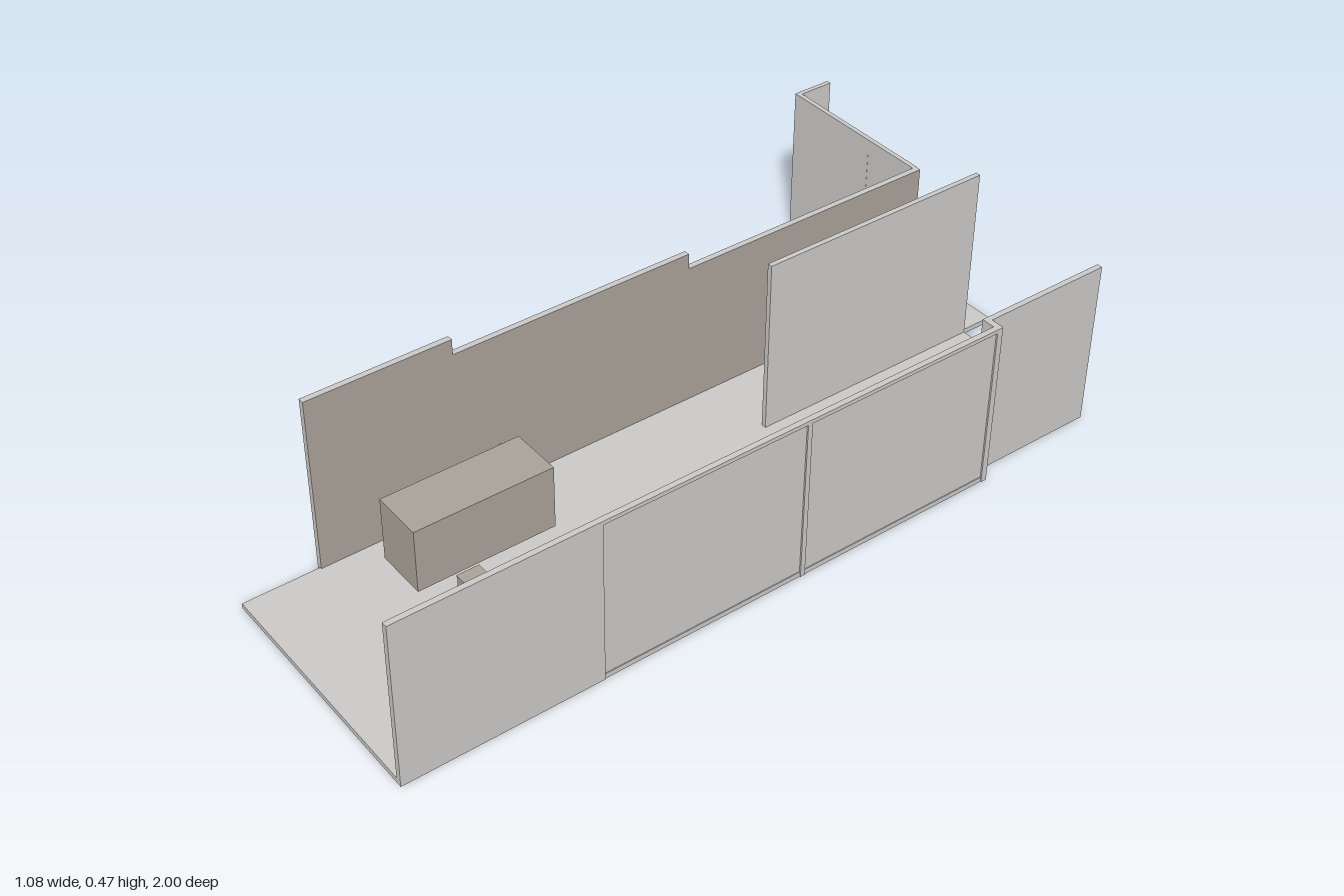
import * as THREE from 'three';
import { RoundedBoxGeometry } from 'three/addons/geometries/RoundedBoxGeometry.js';

export function createModel() {
  const root = new THREE.Group();
  const mat = (name, color) => {
    const m = new THREE.MeshStandardMaterial({ color });
    m.name = name;
    return m;
  };
  const grey = mat('wall grey', 0xc9c8c6);
  const tan = mat('warm taupe', 0xa8a197);
  const dark = mat('dark grey', 0x4d4c4a);

  const group = (name) => {
    const g = new THREE.Group();
    g.name = name;
    root.add(g);
    return g;
  };
  // Box given by its extents along x, y and z
  const box = (parent, name, m, x0, x1, y0, y1, z0, z1, round = 0) => {
    const s = [x1 - x0, y1 - y0, z1 - z0];
    const geo = round ? new RoundedBoxGeometry(...s, 2, round) : new THREE.BoxGeometry(...s);
    const mesh = new THREE.Mesh(geo, m);
    mesh.name = name;
    mesh.position.set((x0 + x1) / 2, (y0 + y1) / 2, (z0 + z1) / 2);
    parent.add(mesh);
    return mesh;
  };

  // Floor slab with the side wing at the back left and a notch at the back right
  const outline = [[-0.54, -0.975], [0.1, -0.975], [0.1, -0.885], [0.505, -0.885], [0.505, -0.55],
    [0.538, -0.55], [0.538, 1], [-0.09, 1], [-0.09, -0.87], [-0.54, -0.87]];
  const shape = new THREE.Shape(outline.map(([x, z]) => new THREE.Vector2(x, -z)));
  const floorGeo = new THREE.ExtrudeGeometry(shape, { depth: 0.013, bevelEnabled: false });
  floorGeo.rotateX(-Math.PI / 2);
  const floor = new THREE.Mesh(floorGeo, grey);
  floor.name = 'floor';
  root.add(floor);

  // Corridor walls, painted taupe on the corridor side
  const innerRight = [tan, grey, grey, grey, grey, grey];
  const innerLeft = [grey, tan, grey, grey, grey, grey];
  const leftWall = group('steppedWall');
  [[0.385, -0.88, -0.18], [0.425, -0.18, 0.45], [0.465, 0.45, 0.81]].forEach(([h, z0, z1]) =>
    box(leftWall, 'steppedWallSection', innerRight, -0.1, -0.085, 0, h, z0, z1));
  box(root, 'partitionWall', innerLeft, 0.095, 0.108, 0.012, 0.465, -0.885, -0.26);

  // Wing wall with a doorway and a thin door
  const wing = group('wingWall');
  const H = 0.385;
  box(wing, 'wallPanel', grey, -0.54, -0.26, 0, H, -0.882, -0.87);
  box(wing, 'wallPanel', grey, -0.13, -0.1, 0, H, -0.882, -0.87);
  box(wing, 'lintel', grey, -0.26, -0.13, 0.35, H, -0.882, -0.87);
  box(wing, 'door', grey, -0.26, -0.13, 0.013, 0.35, -0.877, -0.8705);
  box(wing, 'endWall', grey, -0.54, -0.528, 0, H, -0.975, -0.882);

  // Outer wall with two recessed panels and a jog at the back
  const outer = group('outerWall');
  const T = 0.425;
  box(outer, 'frontSection', grey, 0.526, 0.54, 0, T, 0.51, 1);
  [[-0.535, -0.018], [-0.006, 0.51]].forEach(([z0, z1]) => {
    box(outer, 'recessedPanel', grey, 0.53, 0.536, 0, T - 0.01, z0, z1);
    box(outer, 'panelHeader', grey, 0.526, 0.54, T - 0.01, T, z0, z1);
  });
  box(outer, 'panelPost', grey, 0.526, 0.54, 0, T, -0.018, -0.006);
  box(outer, 'jog', grey, 0.492, 0.54, 0, T, -0.55, -0.535);
  box(outer, 'rearSection', grey, 0.492, 0.506, 0, T, -0.885, -0.55);

  // Cabinet with small knobs
  const cabinet = group('cabinet');
  box(cabinet, 'cabinetBody', tan, 0.096, 0.225, 0.142, 0.302, 0.41, 0.752);
  [[0.29, 0.45], [0.27, 0.5], [0.255, 0.57], [0.23, 0.59], [0.21, 0.63], [0.166, 0.68]].forEach(([y, z]) => {
    const stem = new THREE.Mesh(new THREE.CylinderGeometry(0.002, 0.002, 0.012, 8), tan);
    const knob = new THREE.Mesh(new THREE.SphereGeometry(0.004, 8, 6), tan);
    stem.rotation.z = Math.PI / 2;
    stem.position.set(0.09, y, z);
    knob.position.set(0.086, y, z);
    stem.name = 'knobStem';
    knob.name = 'knob';
    cabinet.add(stem, knob);
  });

  // Three tiers rising toward the front, with a dark backing
  const tiers = group('steppedUnit');
  [0.49, 0.545, 0.602].forEach((z, i) => {
    const y = 0.02 + i * 0.037;
    box(tiers, 'tier', tan, 0.222, 0.498, y, y + 0.037, z, 0.656);
    box(tiers, 'tierEdge', tan, 0.219, 0.501, y + 0.033, y + 0.037, z - 0.002, 0.656);
  });
  box(tiers, 'backing', dark, 0.222, 0.498, 0.02, 0.093, 0.656, 0.659);

  // Sofa against the wing wall, facing the back
  const sofa = group('sofa');
  box(sofa, 'base', tan, -0.525, -0.31, 0.03, 0.065, -0.995, -0.885);
  box(sofa, 'backrest', tan, -0.525, -0.31, 0.03, 0.135, -0.904, -0.884);
  [-1, 1].forEach((s) => {
    const c = -0.4175;
    const ax = c + s * 0.098;
    box(sofa, 'arm', tan, ax - 0.0095, ax + 0.0095, 0.03, 0.135, -0.998, -0.89, 0.004);
    const cx = c + s * 0.044;
    box(sofa, 'seatCushion', tan, cx - 0.043, cx + 0.043, 0.065, 0.088, -1, -0.92, 0.007);
    const back = box(sofa, 'backCushion', tan, cx - 0.043, cx + 0.043, 0.088, 0.155, -0.924, -0.902, 0.008);
    back.rotation.x = 0.1;
    const pillow = box(sofa, 'pillow', tan, -0.011, 0.011, 0.088, 0.135, -0.978, -0.93, 0.008);
    pillow.position.x = c + s * 0.075;
    pillow.rotation.z = -s * 0.15;
    [-0.985, -0.895].forEach((z) =>
      box(sofa, 'leg', dark, ax - 0.005, ax + 0.005, 0.013, 0.03, z - 0.005, z + 0.005));
  });
  return root;
}
